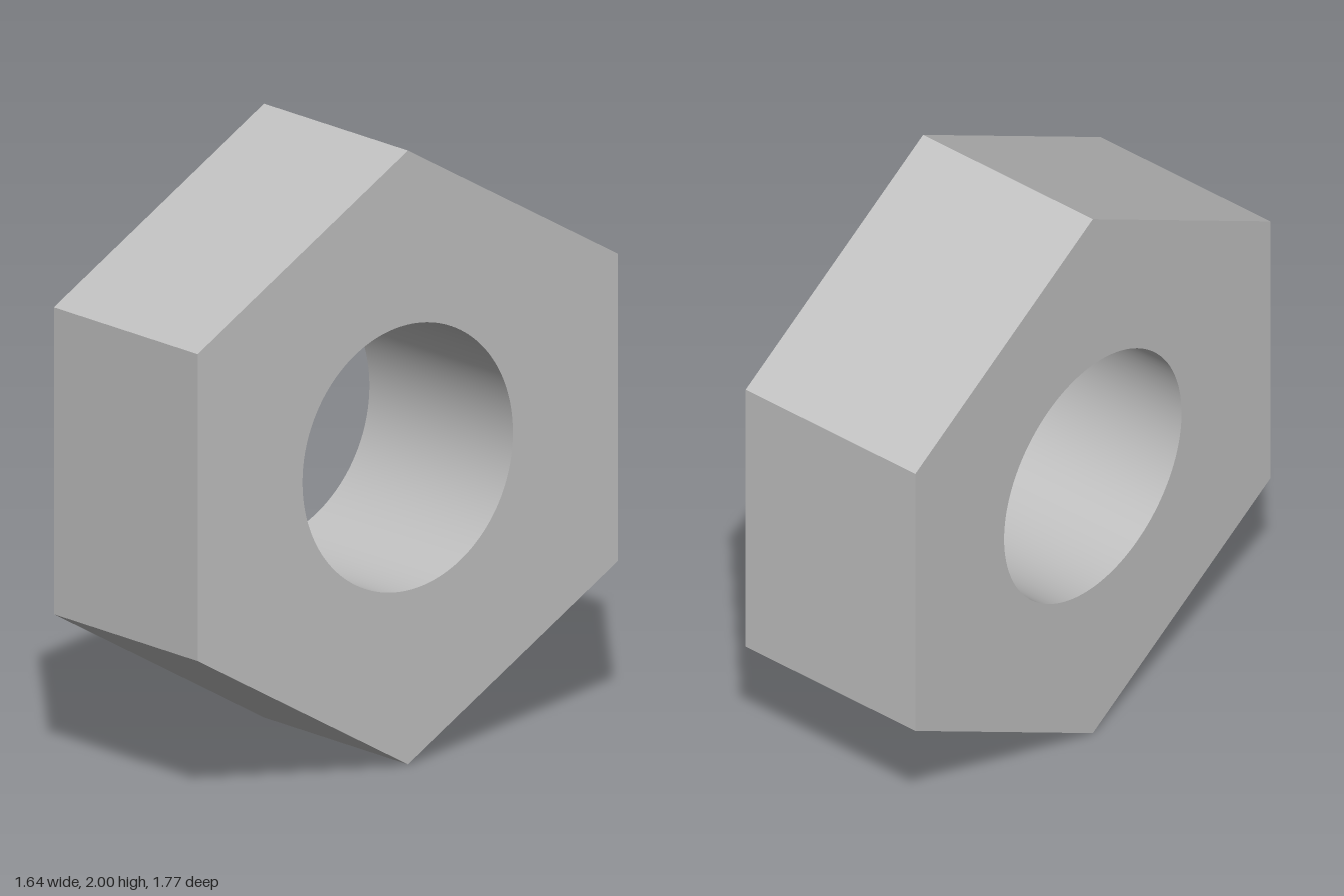
import * as THREE from 'three';
import { toCreasedNormals } from 'three/addons/utils/BufferGeometryUtils.js';

export function createModel() {
  const group = new THREE.Group();
  group.name = 'hexNut';

  const steel = new THREE.MeshStandardMaterial({ color: 0xc0c0c0 });
  steel.name = 'steel grey';

  const radius = 1, boreRadius = 0.433, thickness = 0.692;

  // Hexagon outline with a corner pointing up
  const corners = [];
  for (let i = 0; i < 6; i++) {
    const a = Math.PI / 2 + (i * Math.PI) / 3;
    corners.push(new THREE.Vector2(radius * Math.cos(a), radius * Math.sin(a)));
  }
  const outline = new THREE.Shape(corners);

  // Round bore through the middle
  const bore = new THREE.Path();
  bore.absarc(0, 0, boreRadius, 0, Math.PI * 2, true);
  outline.holes.push(bore);

  const geometry = new THREE.ExtrudeGeometry(outline, {
    depth: thickness, bevelEnabled: false, curveSegments: 72,
  });
  geometry.translate(0, 0, -thickness / 2);

  // Smooth bore, sharp hexagon edges
  const nut = new THREE.Mesh(toCreasedNormals(geometry, Math.PI / 6), steel);
  nut.name = 'nutBody';
  nut.position.y = radius;
  nut.rotation.y = 0.871; // bore axis turned toward the front left
  group.add(nut);

  return group;
}
